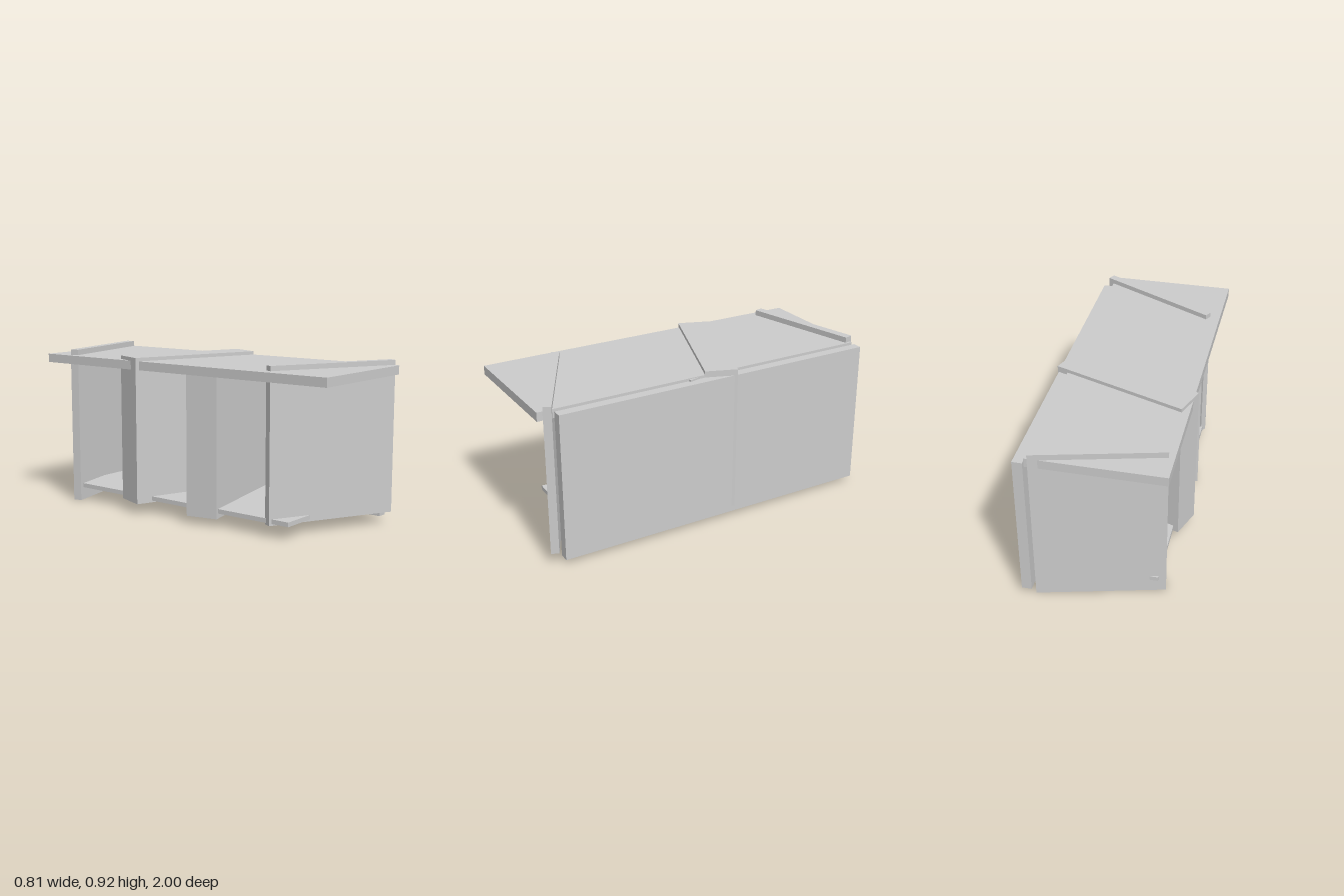
import * as THREE from 'three';

export function createModel() {
  const model = new THREE.Group();
  const material = new THREE.MeshStandardMaterial({ color: 0xcccccc, flatShading: true });

  // Board given by its size, base height, plan position and turn about the vertical
  function board(name, [w, h, d], [x, base, z], degrees = 0) {
    const mesh = new THREE.Mesh(new THREE.BoxGeometry(w, h, d), material);
    mesh.name = name;
    mesh.position.set(x, base + h / 2, z);
    mesh.rotation.y = THREE.MathUtils.degToRad(degrees);
    model.add(mesh);
  }

  // Straight boards: top, long closing panel and low shelf
  board('topBoard', [0.725, 0.05, 1.98], [-0.0235, 0.835, 0.01]);
  board('longPanel', [0.055, 0.84, 1.905], [0.3675, 0.03, -0.0475]);
  board('lowerShelf', [0.655, 0.025, 1.576], [0.0125, 0.075, -0.054]);

  // End panels, each turned out of square
  board('frontEndPanel', [0.763, 0.847, 0.045], [0.02, 0.065, 0.776], -27.3);
  board('rearEndPanel', [0.695, 0.917, 0.05], [-0.0125, 0, -0.882], 14.4);

  // Thick dividers, turned opposite ways
  board('rearDivider', [0.792, 0.84, 0.182], [-0.0025, 0.065, -0.2], -19.9);
  board('frontDivider', [0.7, 0.835, 0.184], [-0.008, 0.045, 0.104], 12.5);

  return model;
}
